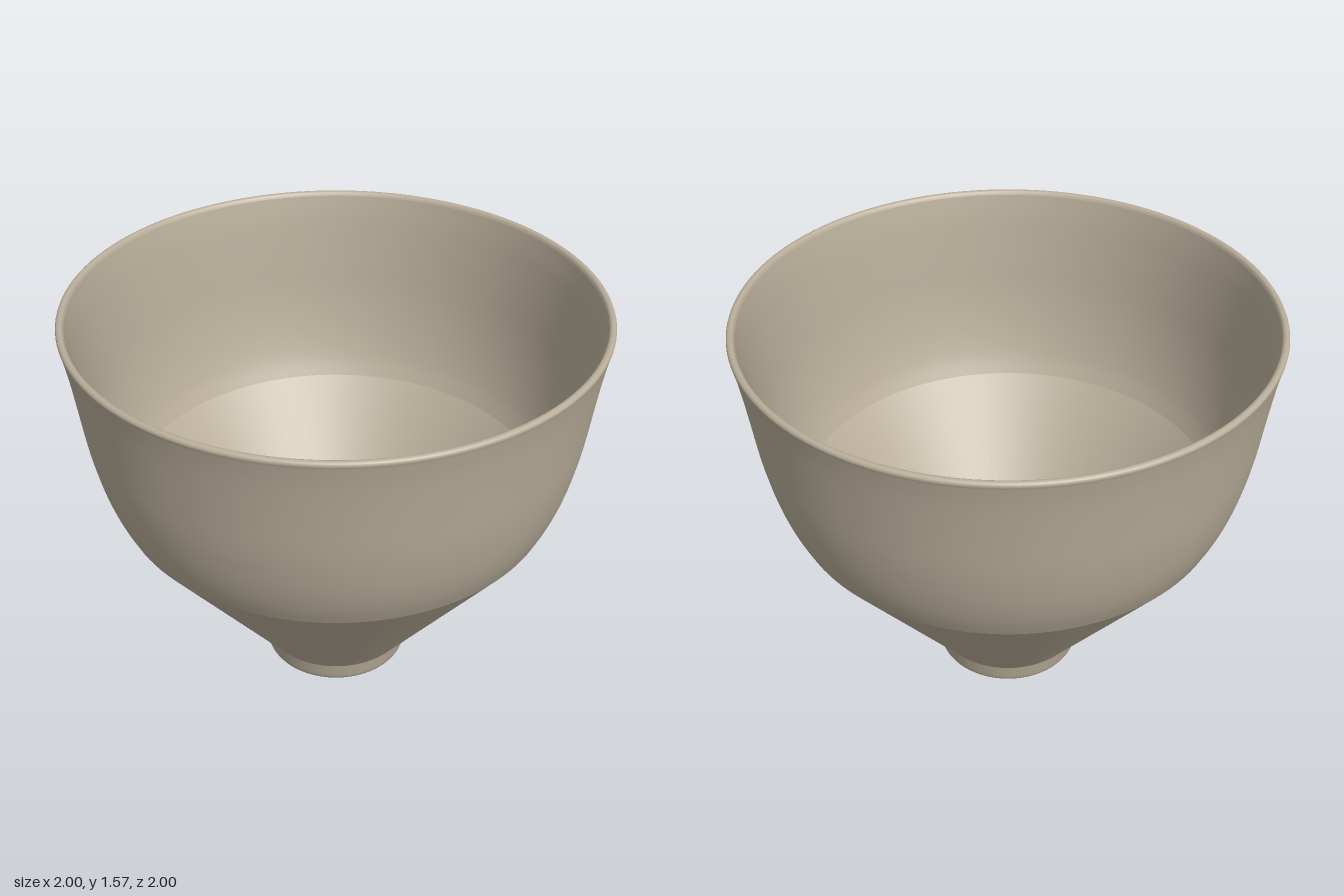
import * as THREE from 'three';

export function createModel() {
  const group = new THREE.Group();
  group.name = 'bowl';
  const material = new THREE.MeshStandardMaterial({ color: 0xb8ad99 });
  const toPoints = (pairs) => pairs.map(([r, y]) => new THREE.Vector2(r, y));

  // One turned band of the bowl; separate bands keep the edges between them sharp
  function band(name, pairs, samples = 0) {
    let points = toPoints(pairs);
    if (samples) {
      points = new THREE.SplineCurve(points).getPoints(samples);
      points.forEach((p) => { p.x = Math.max(p.x, 0); });
    }
    const mesh = new THREE.Mesh(new THREE.LatheGeometry(points, 128), material);
    mesh.name = name;
    group.add(mesh);
  }

  // Outside, from the underside up to the rim
  band('footUnderside', [[0, 0], [0.25, 0]]);
  band('footWall', [[0.25, 0], [0.268, 0.004], [0.278, 0.015], [0.283, 0.03], [0.289, 0.06], [0.295, 0.09]], 16);
  band('outerCone', [[0.295, 0.09], [0.83, 0.78]]);
  band('outerWall', [
    [0.83, 0.78], [0.866, 0.86], [0.896, 0.95], [0.92, 1.05], [0.938, 1.15],
    [0.954, 1.27], [0.969, 1.38], [0.983, 1.47], [0.997, 1.54],
  ], 40);

  // Rounded lip
  band('rim', [[0.997, 1.54], [1, 1.552], [0.996, 1.561], [0.986, 1.565], [0.976, 1.561], [0.97, 1.55]], 20);

  // Inside, from the rim down to the floor
  band('innerWall', [
    [0.97, 1.55], [0.954, 1.47], [0.94, 1.38], [0.924, 1.27], [0.907, 1.15],
    [0.888, 1.05], [0.863, 0.95], [0.833, 0.86], [0.8, 0.79],
  ], 40);
  band('innerCone', [[0.8, 0.79], [0.262, 0.1]]);
  band('innerFootWall', [[0.262, 0.1], [0.256, 0.07], [0.25, 0.04]]);
  band('floor', [[0.25, 0.04], [0, 0.04]]);

  return group;
}
